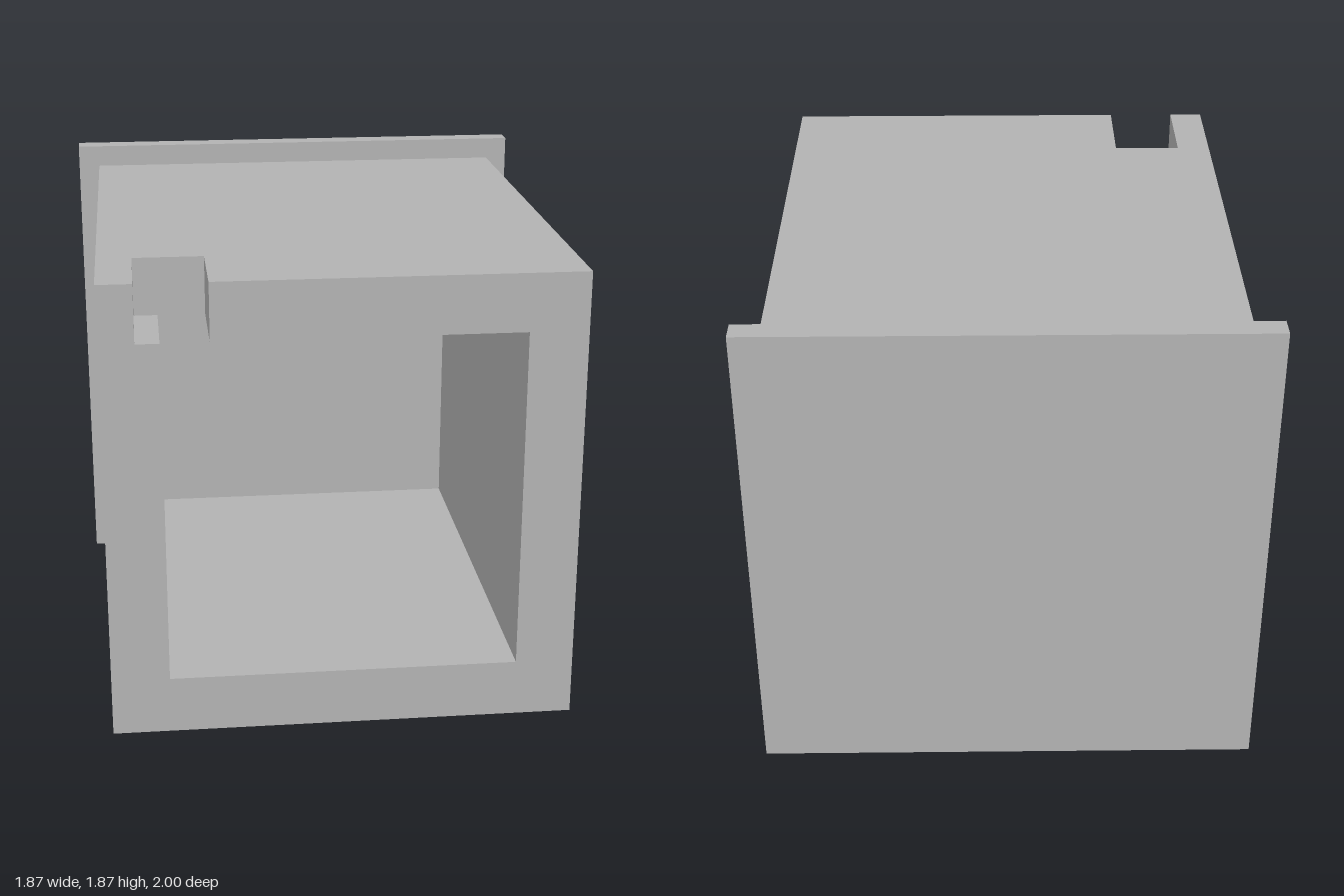
import * as THREE from 'three';

const HALF = 0.85, INNER = 0.638;            // outer and cavity half widths
const BOTTOM = 0.085, FLOOR = 0.298, CEILING = 1.573, TOP = 1.785;
const FRONT = 1, CAVITY_END = -0.702, PLATE_FRONT = -0.915, BACK = -1;

export function createModel() {
  const group = new THREE.Group();
  const grey = new THREE.MeshStandardMaterial({ color: 0xb2b2b2 });

  const add = (name, geometry) => {
    const mesh = new THREE.Mesh(geometry, grey);
    mesh.name = name;
    group.add(mesh);
  };
  const box = (x0, x1, y0, y1, z0, z1) =>
    new THREE.BoxGeometry(x1 - x0, y1 - y0, z1 - z0)
      .translate((x0 + x1) / 2, (y0 + y1) / 2, (z0 + z1) / 2);
  const extrude = (points, depth) => new THREE.ExtrudeGeometry(
    new THREE.Shape(points.map(([x, y]) => new THREE.Vector2(x, y))),
    { depth, bevelEnabled: false });

  // Floor and side walls: a U-shaped channel open at the front
  add('sideWallsAndFloor', extrude([
    [-HALF, BOTTOM], [HALF, BOTTOM], [HALF, CEILING], [INNER, CEILING],
    [INNER, FLOOR], [-INNER, FLOOR], [-INNER, CEILING], [-HALF, CEILING],
  ], FRONT - CAVITY_END).translate(0, 0, CAVITY_END));

  // Solid wall closing the cavity
  add('rearWall', box(-HALF, HALF, BOTTOM, CEILING, PLATE_FRONT, CAVITY_END));

  // Roof with a notch in its front edge; outline is drawn in x and -z
  add('notchedRoof', extrude([
    [-HALF, -FRONT], [-0.723, -FRONT], [-0.723, -0.66], [-0.468, -0.66],
    [-0.468, -FRONT], [HALF, -FRONT], [HALF, -PLATE_FRONT], [-HALF, -PLATE_FRONT],
  ], TOP - CEILING).rotateX(-Math.PI / 2).translate(0, CEILING, 0));

  // Wider flange plate at the back
  add('backPlate', box(-0.935, 0.935, 0, 1.87, BACK, PLATE_FRONT));

  return group;
}
